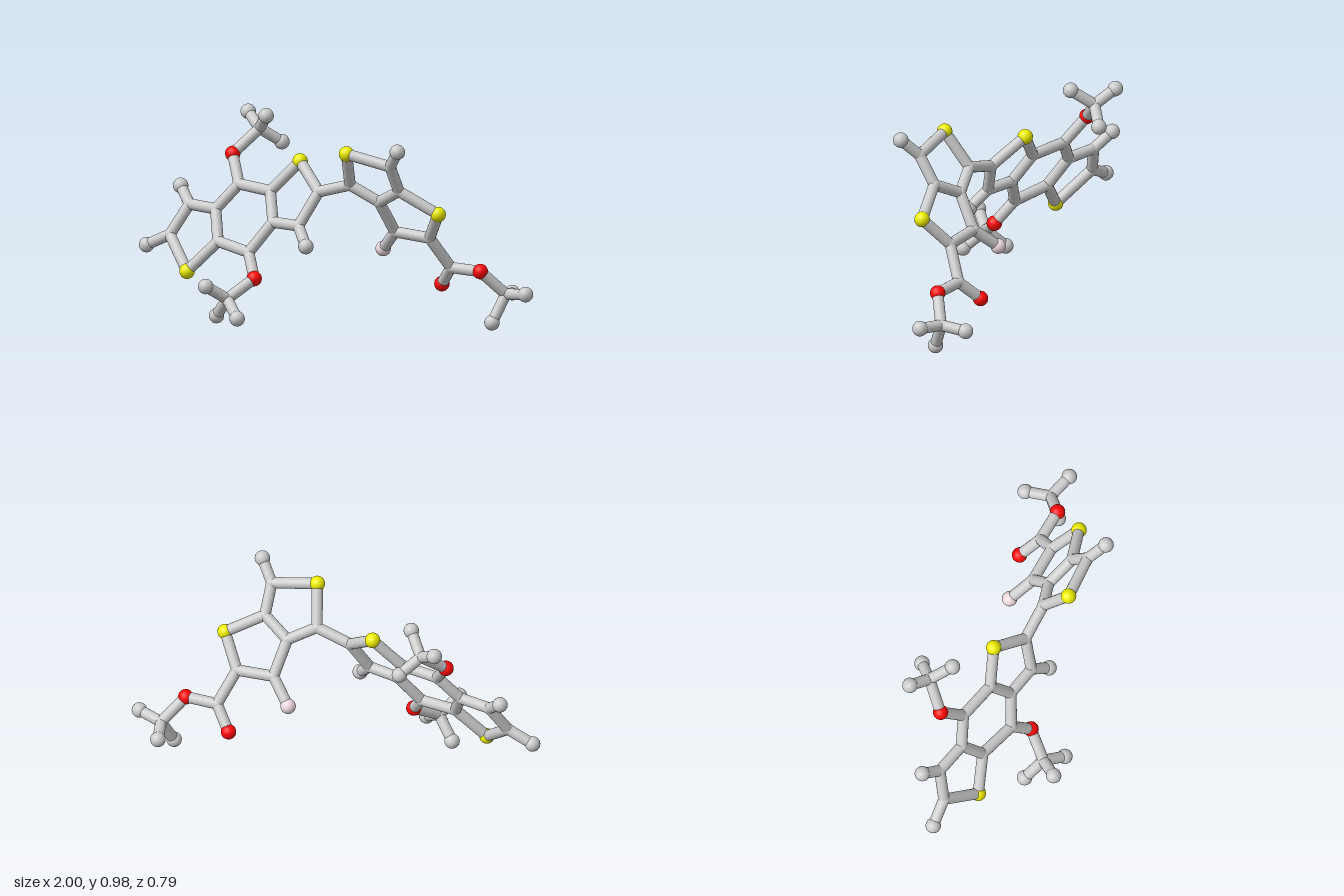
import * as THREE from 'three';

const STICK = 0.027, JOINT = 0.029, BALL = 0.037;
const COLORS = { carbon: 0xcccccc, hydrogen: 0xcccccc, sulfur: 0xeeee00, oxygen: 0xff0808, halogen: 0xeed8de };
const MATERIALS = {};
for (const kind in COLORS) MATERIALS[kind] = new THREE.MeshStandardMaterial({ color: COLORS[kind] });

// Each flat ring system lies in its own tilted plane: depth follows from x and y.
const leftPlane = (x, y) => 0.395 + 0.3175 * x - 0.535 * y;
const rightPlane = (x, y) => -0.413 + 0.179 * x + 0.659 * y;

// name: [kind, x, y, optional z]
const LEFT_ATOMS = {
  s1: ['sulfur', -0.705, 0.215], a: ['carbon', -0.842, 0.364], b: ['carbon', -0.762, 0.508],
  c: ['carbon', -0.607, 0.503], d: ['carbon', -0.559, 0.364], e: ['carbon', -0.5, 0.626],
  f: ['carbon', -0.313, 0.615], s2: ['sulfur', -0.174, 0.763], g: ['carbon', -0.035, 0.642],
  h: ['carbon', -0.115, 0.481], i: ['carbon', -0.265, 0.481], j: ['carbon', -0.372, 0.335],
  ha: ['hydrogen', -0.965, 0.305], hb: ['hydrogen', -0.832, 0.583], hh: ['hydrogen', -0.051, 0.396],
  // upper side group
  o1: ['oxygen', -0.568, 0.754], m1: ['carbon', -0.468, 0.867, -0.284],
  h1: ['hydrogen', -0.553, 0.932, -0.351], h2: ['hydrogen', -0.398, 0.947, -0.193], h3: ['hydrogen', -0.382, 0.796, -0.355],
  // lower side group
  o2: ['oxygen', -0.313, 0.225], m2: ['carbon', -0.411, 0.137, 0.276],
  h4: ['hydrogen', -0.489, 0.205, 0.358], h5: ['hydrogen', -0.492, 0.04, 0.211], h6: ['hydrogen', -0.329, 0.059, 0.354],
};
const RIGHT_ATOMS = {
  k: ['carbon', 0.136, 0.69], s3: ['sulfur', 0.165, 0.861], l: ['carbon', 0.393, 0.816],
  m: ['carbon', 0.404, 0.684], n: ['carbon', 0.275, 0.612], s4: ['sulfur', 0.591, 0.578],
  o: ['carbon', 0.505, 0.441], p: ['carbon', 0.318, 0.455],
  hl: ['hydrogen', 0.457, 0.902], x: ['halogen', 0.224, 0.354],
  // tail group
  q: ['carbon', 0.58, 0.289], o3: ['oxygen', 0.503, 0.193], o4: ['oxygen', 0.741, 0.284],
  m3: ['carbon', 0.843, 0.169, -0.167],
  h7: ['hydrogen', 0.963, 0.183, -0.118], h8: ['hydrogen', 0.794, 0.037, -0.11], h9: ['hydrogen', 0.826, 0.155, -0.291],
};
// chains of bonded atoms
const LEFT_BONDS = ['s1 a b c d s1', 'c e f i j d', 'f s2 g h i', 'a ha', 'b hb', 'h hh',
  'e o1 m1 h1', 'h2 m1 h3', 'j o2 m2 h4', 'h5 m2 h6'];
const RIGHT_BONDS = ['k s3 l m n k', 'm s4 o p n', 'l hl', 'p x', 'o q o4 m3 h7', 'q o3', 'h8 m3 h9'];

const jointGeometry = new THREE.SphereGeometry(JOINT, 20, 14);
const ballGeometry = new THREE.SphereGeometry(BALL, 20, 14);
const stickGeometry = new THREE.CylinderGeometry(STICK, STICK, 1, 18, 1, true);

function makeStick(from, to, name) {
  const dir = to.clone().sub(from);
  const stick = new THREE.Mesh(stickGeometry, MATERIALS.carbon);
  stick.name = name;
  stick.position.copy(from).add(to).multiplyScalar(0.5);
  stick.scale.y = dir.length();
  stick.quaternion.setFromUnitVectors(new THREE.Vector3(0, 1, 0), dir.normalize());
  return stick;
}

function makeHalf(name, atoms, chains, plane) {
  const group = new THREE.Group();
  group.name = name;
  const points = {};
  for (const [key, [kind, x, y, z = plane(x, y)]] of Object.entries(atoms)) {
    points[key] = new THREE.Vector3(x, y, z);
    const atom = new THREE.Mesh(kind === 'carbon' ? jointGeometry : ballGeometry, MATERIALS[kind]);
    atom.name = kind + 'Atom';
    atom.position.copy(points[key]);
    group.add(atom);
  }
  for (const chain of chains) {
    const keys = chain.split(' ');
    for (let i = 1; i < keys.length; i++) group.add(makeStick(points[keys[i - 1]], points[keys[i]], 'bond'));
  }
  return { group, points };
}

export function createModel() {
  const model = new THREE.Group();
  model.name = 'ballAndStickMolecule';
  const left = makeHalf('threeRingUnit', LEFT_ATOMS, LEFT_BONDS, leftPlane);
  const right = makeHalf('twoRingUnit', RIGHT_ATOMS, RIGHT_BONDS, rightPlane);
  // single bond joining the two ring systems
  model.add(left.group, right.group, makeStick(left.points.g, right.points.k, 'linkingBond'));
  return model;
}
